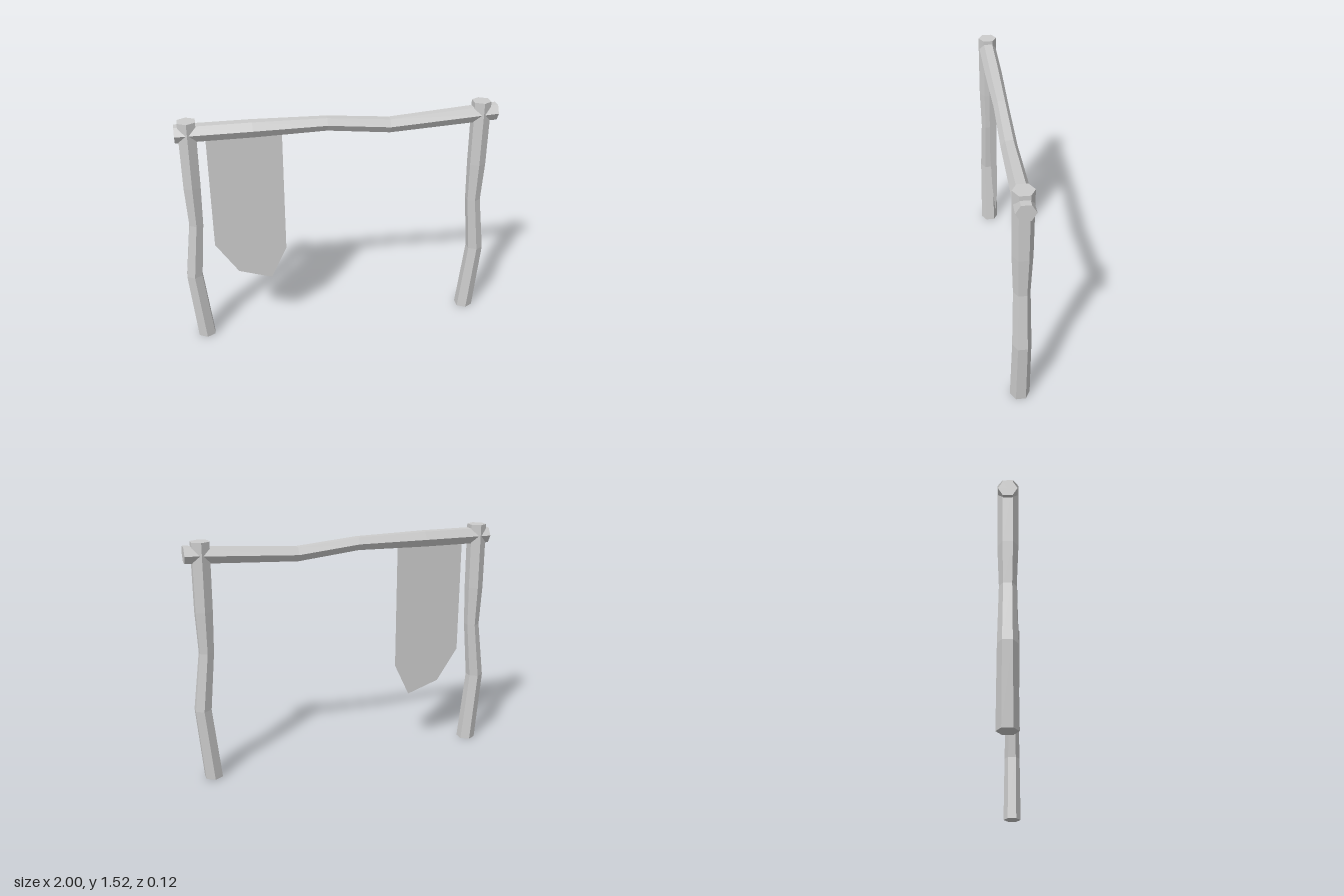
import * as THREE from 'three';

// Hexagonal pole along y; each ring is [sideways offset, height, radius]
function bentPole(rings) {
  const geo = new THREE.CylinderGeometry(1, 1, 1, 6, rings.length - 1);
  const pos = geo.attributes.position;
  for (let i = 0; i < pos.count; i++) {
    const k = Math.round((pos.getY(i) + 0.5) * (rings.length - 1));
    const [x, y, r] = rings[k];
    pos.setXYZ(i, x + pos.getX(i) * r, y, pos.getZ(i) * r);
  }
  geo.computeVertexNormals();
  return geo;
}

export function createModel() {
  const group = new THREE.Group();
  const grey = new THREE.MeshStandardMaterial({ color: 0xcccccc, flatShading: true, side: THREE.DoubleSide });
  grey.name = 'pale grey';
  const add = (name, geo) => {
    const mesh = new THREE.Mesh(geo, grey);
    mesh.name = name;
    group.add(mesh);
    return mesh;
  };

  // Two crooked posts, bowing outwards near the ground
  for (const [name, side, x] of [['leftPost', 1, 0.896], ['rightPost', -1, -0.911]]) {
    const rings = [
      [0, 0, 0.061], [0.042, 0.47, 0.056], [0, 0.84, 0.049],
      [0.002, 1.1, 0.059], [0, 1.52, 0.061],
    ].map(([dx, y, r]) => [x + side * dx, y, r]);
    add(name, bentPole(rings));
  }

  // Sagging crossbeam, built upright and laid over along x
  const beam = bentPole([
    [-1.447, -0.985, 0.056], [-1.447, -0.53, 0.055], [-1.446, -0.08, 0.046],
    [-1.407, 0.31, 0.049], [-1.447, 0.995, 0.056],
  ]);
  beam.rotateZ(-Math.PI / 2);
  add('crossbeam', beam);

  // Hanging cloth with a ragged lower edge
  const cloth = new THREE.Shape([
    [-0.808, 1.42], [-0.808, 0.67], [-0.668, 0.457], [-0.455, 0.385], [-0.353, 0.6], [-0.353, 1.42],
  ].map(([x, y]) => new THREE.Vector2(x, y)));
  add('hangingCloth', new THREE.ShapeGeometry(cloth));

  return group;
}
